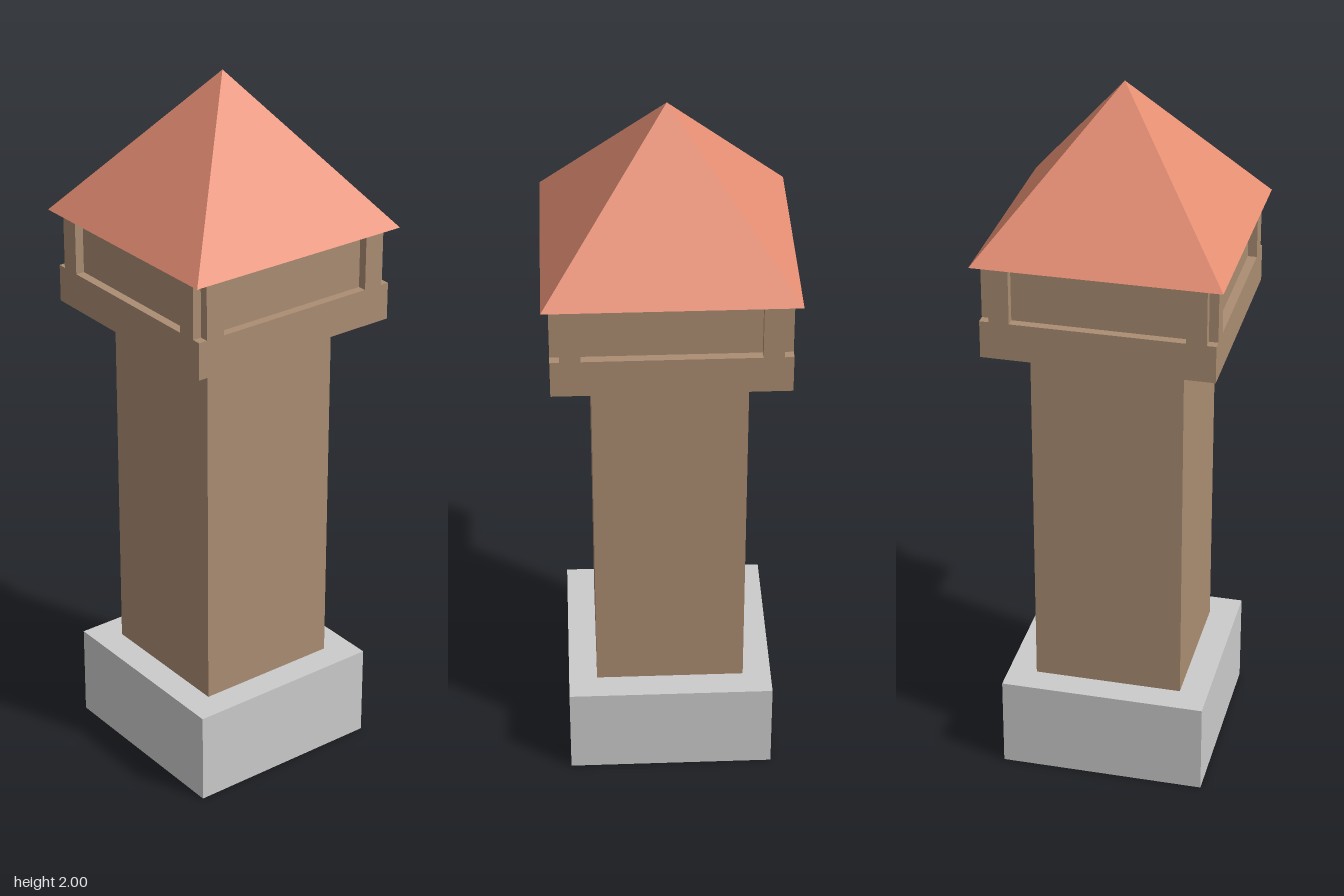
import * as THREE from 'three';

export function createModel() {
  const tower = new THREE.Group();
  tower.name = 'watchTower';

  const stone = new THREE.MeshStandardMaterial({ color: 0xcccccc, flatShading: true });
  const timber = new THREE.MeshStandardMaterial({ color: 0xab8d72, flatShading: true });
  const tile = new THREE.MeshStandardMaterial({ color: 0xe68f74, flatShading: true });

  // Square block of a given half width between two heights
  function block(name, half, y0, y1, material) {
    const mesh = new THREE.Mesh(new THREE.BoxGeometry(half * 2, y1 - y0, half * 2), material);
    mesh.position.y = (y0 + y1) / 2;
    mesh.name = name;
    tower.add(mesh);
  }

  block('foundation', 0.289, 0, 0.265, stone);
  block('shaft', 0.209, 0.265, 1.32, timber);
  block('cabinFloor', 0.315, 1.32, 1.425, timber);
  block('cabinWalls', 0.29, 1.425, 1.585, timber);

  // Raised upright strips, two on each side of the cabin
  const stripGeometry = new THREE.BoxGeometry(0.055, 0.16, 0.025);
  for (let side = 0; side < 4; side++) {
    const wall = new THREE.Group();
    wall.name = 'cabinPosts';
    wall.rotation.y = side * Math.PI / 2;
    for (const s of [-1, 1]) {
      const post = new THREE.Mesh(stripGeometry, timber);
      post.name = 'cornerPost';
      post.position.set(s * 0.2625, 1.505, 0.3025);
      wall.add(post);
    }
    tower.add(wall);
  }

  // Pyramid roof, closed underneath
  const roofGeometry = new THREE.ConeGeometry(0.334 * Math.SQRT2, 0.415, 4);
  roofGeometry.rotateY(Math.PI / 4);
  const roof = new THREE.Mesh(roofGeometry, tile);
  roof.name = 'roof';
  roof.position.y = 1.585 + 0.415 / 2;
  tower.add(roof);

  return tower;
}
